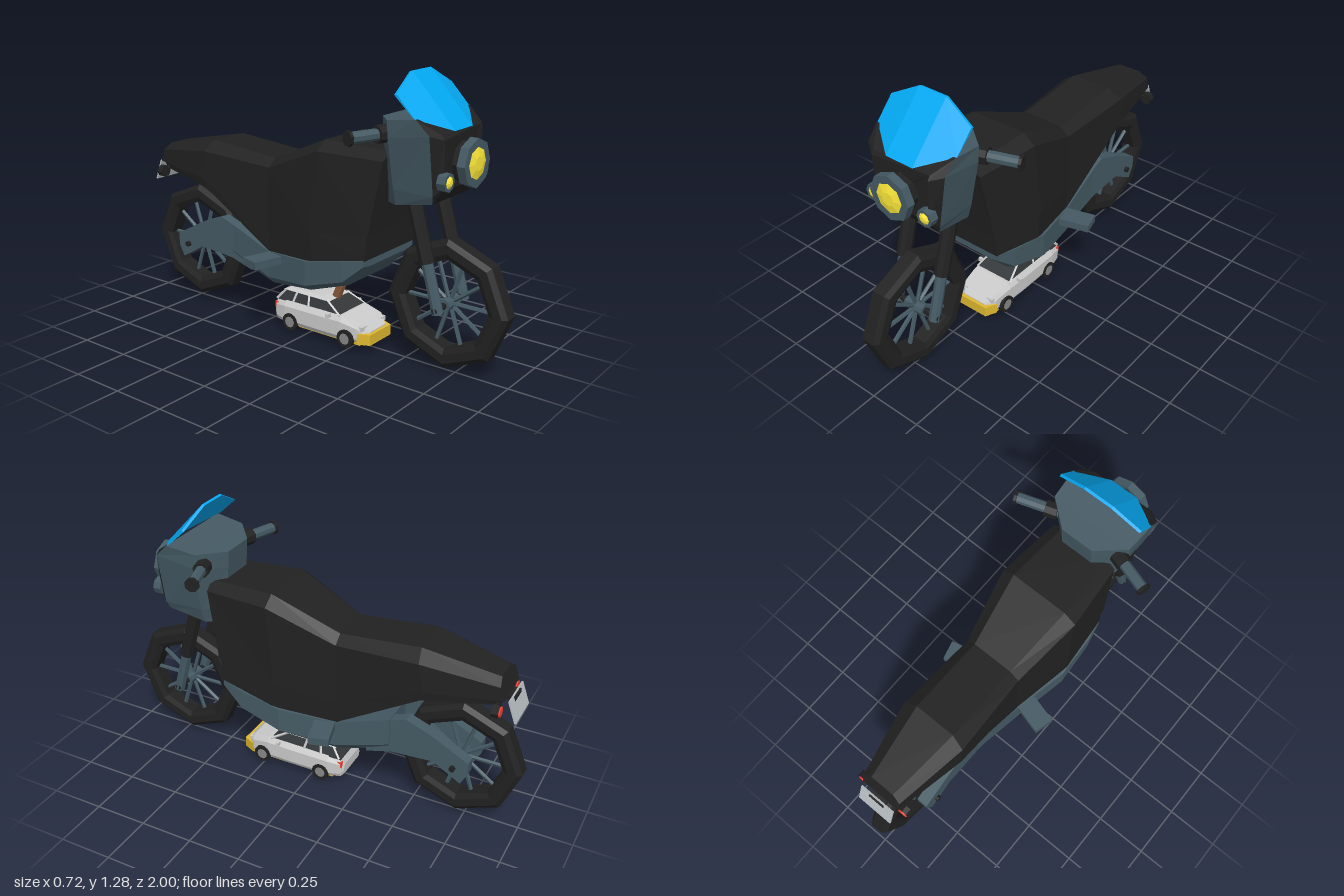
import * as THREE from 'three';

const DARK = 0x212121, SLATE = 0x455a64, BLUE = 0x03a9f4, YELLOW = 0xffeb3b, GREY = 0xcccccc;
const BROWN = 0x8d5a3a, RED = 0xf44336, LIME = 0xdce775, AMBER = 0xe0b830, PLATE = 0xb8bec2;
const V = (x, y, z) => new THREE.Vector3(x, y, z);

function add(parent, name, geo, color, side = THREE.FrontSide) {
  const m = new THREE.Mesh(geo, new THREE.MeshStandardMaterial({ color, flatShading: true, side }));
  m.name = name;
  parent.add(m);
  return m;
}

// Skin over equal-length rings of [x, y, z] with flat end caps, always facing outward
function loft(rings) {
  const n = rings[0].length, last = rings.length - 1, idx = [], p = rings.flat();
  for (let r = 0; r < last; r++)
    for (let i = 0; i < n; i++) {
      const a = r * n + i, b = r * n + (i + 1) % n;
      idx.push(a, b, b + n, a, b + n, a + n);
    }
  for (let i = 1; i < n - 1; i++) {
    idx.push(0, i + 1, i);
    idx.push(last * n, last * n + i, last * n + i + 1);
  }
  let vol = 0;
  for (let i = 0; i < idx.length; i += 3)
    vol += V(...p[idx[i]]).dot(V(...p[idx[i + 1]]).cross(V(...p[idx[i + 2]])));
  if (vol < 0) idx.reverse();
  const g = new THREE.BufferGeometry();
  g.setAttribute('position', new THREE.Float32BufferAttribute(p.flat(), 3));
  g.setIndex(idx);
  const flat = g.toNonIndexed();
  flat.computeVertexNormals();
  return flat;
}

// Mirrors a half ring in x to close it
const ring = (half) => [...half, ...half.slice().reverse().map(([x, y, z]) => [-x, y, z])];

// Straight bar between two points
function bar(a, b, r0, r1 = r0, sides = 8) {
  const d = b.clone().sub(a), g = new THREE.CylinderGeometry(r1, r0, d.length(), sides);
  g.applyQuaternion(new THREE.Quaternion().setFromUnitVectors(V(0, 1, 0), d.clone().normalize()));
  const c = a.clone().add(b).multiplyScalar(0.5);
  return g.translate(c.x, c.y, c.z);
}

function box(w, h, d, x, y, z) {
  return new THREE.BoxGeometry(w, h, d).translate(x, y, z);
}

// Octagonal tyre with hub and spokes
function wheel(parent, name, z) {
  const g = new THREE.Group();
  g.name = name;
  g.position.set(0, 0.307, z);
  const prof = [[0.2, -0.035], [0.225, -0.047], [0.265, -0.047], [0.287, -0.03], [0.287, 0.03],
    [0.265, 0.047], [0.225, 0.047], [0.2, 0.035], [0.2, -0.035]].map(([x, y]) => new THREE.Vector2(x, y));
  add(g, 'tyre', new THREE.LatheGeometry(prof, 8).rotateZ(Math.PI / 2), DARK);
  add(g, 'hub', bar(V(-0.05, 0, 0), V(0.05, 0, 0), 0.028), SLATE);
  add(g, 'axle', bar(V(-0.13, 0, 0), V(0.13, 0, 0), 0.014), DARK);
  for (let i = 0; i < 10; i++) {
    const a = (i + 0.5) * Math.PI / 5;
    add(g, 'spoke', bar(V(0, 0, 0), V(0, Math.cos(a) * 0.2, Math.sin(a) * 0.2), 0.01, 0.01, 5), SLATE);
  }
  parent.add(g);
}

// Octagonal lamp with slate rim and domed lens, facing +z
function lamp(parent, name, x, y, z0, z1, r) {
  add(parent, name + 'Rim', bar(V(x, y, z0), V(x, y, z1), r), SLATE);
  add(parent, name + 'Lens', bar(V(x, y, z1 - 0.002), V(x, y, z1 + 0.008), r * 0.75, r * 0.3), YELLOW);
}

// Small car standing under the motorbike
function car(parent) {
  const g = new THREE.Group();
  g.name = 'car';
  parent.add(g);
  // z, bottom y, top y, half width
  const st = [[0.35, 0.05, 0.095, 0.07], [0.31, 0.04, 0.133, 0.1], [0.22, 0.04, 0.152, 0.112],
    [0.1, 0.04, 0.152, 0.115], [-0.1, 0.04, 0.15, 0.113], [-0.16, 0.045, 0.142, 0.1], [-0.175, 0.06, 0.11, 0.085]];
  add(g, 'carBody', loft(st.map(([z, b, t, w]) => ring([[w * 0.85, t, z], [w, t - 0.025, z], [w, b + 0.02, z], [w * 0.9, b, z]]))), GREY);
  const level = (y, w, f, b) => ring([[w, y, f], [w, y, b]]);
  add(g, 'carWindows', loft([level(0.145, 0.098, 0.22, -0.165), level(0.195, 0.076, 0.125, -0.115)]), 0x333638);
  add(g, 'carRoof', loft([level(0.193, 0.08, 0.135, -0.13), level(0.205, 0.065, 0.09, -0.1)]), GREY);
  add(g, 'carBumper', loft([[0.31, 0.105], [0.365, 0.08]].map(([z, w]) => ring([[w, 0.09, z], [w, 0.04, z]]))), AMBER);
  add(g, 'carUnderside', box(0.19, 0.02, 0.44, 0, 0.043, 0.1), AMBER);
  add(g, 'carFloor', box(0.1, 0.02, 0.42, 0, 0.04, 0.09), GREY);
  for (const s of [1, -1]) {
    for (const [zt, zb] of [[0.125, 0.21], [0.02, 0.03], [-0.05, -0.06], [-0.115, -0.155]])
      add(g, 'carPillar', bar(V(s * 0.098, 0.148, zb), V(s * 0.077, 0.196, zt), 0.006, 0.006, 4), GREY);
    for (const z of [0.25, -0.065]) {
      add(g, 'carTyre', bar(V(s * 0.075, 0.055, z), V(s * 0.118, 0.055, z), 0.042, 0.042, 14), DARK);
      add(g, 'carRim', bar(V(s * 0.11, 0.055, z), V(s * 0.12, 0.055, z), 0.026, 0.026, 10), 0x888888);
    }
    add(g, 'carMirror', box(0.025, 0.018, 0.015, s * 0.117, 0.145, 0.16), GREY);
    add(g, 'carHeadlight', box(0.035, 0.02, 0.03, s * 0.075, 0.11, 0.315), 0xe8e8e8);
    add(g, 'carTailLight', box(0.02, 0.03, 0.02, s * 0.088, 0.115, -0.158), RED);
  }
}

export function createModel() {
  const g = new THREE.Group();
  g.name = 'motorbikeOverCar';
  wheel(g, 'frontWheel', 0.712);
  wheel(g, 'rearWheel', -0.712);

  // Tank and seat: [z, y, half width] at top, shoulder and lower edge
  const seat = [
    [[0.48, 0.945, 0.12], [0.475, 0.91, 0.17], [0.417, 0.583, 0.19]],
    [[0.16, 0.957, 0.14], [0.16, 0.915, 0.2], [0.12, 0.55, 0.21]],
    [[-0.155, 0.823, 0.1], [-0.155, 0.785, 0.145], [-0.165, 0.497, 0.15]],
    [[-0.53, 0.855, 0.1], [-0.545, 0.81, 0.163], [-0.57, 0.68, 0.165]],
    [[-0.87, 0.79, 0.06], [-0.88, 0.76, 0.1], [-0.90, 0.7, 0.1]]];
  const section = (s) => ring(s.map(([z, y, w]) => [w, y, z]));
  add(g, 'tankAndSeat', loft(seat.map(section)), DARK);

  // Dark panel under the seam
  const band = [
    [[0.412, 0.59, 0.183], [0.4, 0.47, 0.19]],
    [[0.12, 0.555, 0.203], [0.14, 0.412, 0.205]],
    [[-0.165, 0.5, 0.143], [-0.155, 0.385, 0.143]],
    [[-0.57, 0.69, 0.145], [-0.555, 0.625, 0.14]],
    [[-0.9, 0.705, 0.085], [-0.88, 0.665, 0.08]]];
  add(g, 'lowerPanel', loft(band.map(section)), DARK);

  // Engine belly: z, top y, bottom y, half width
  const belly = [[0.4, 0.475, 0.44, 0.19], [0.3, 0.455, 0.335, 0.205], [0.1, 0.415, 0.268, 0.21],
    [-0.16, 0.39, 0.23, 0.15], [-0.41, 0.465, 0.295, 0.12]];
  add(g, 'engineBelly', loft(belly.map(([z, t, b, w]) =>
    ring([[w, t, z], [w, b + (t - b) * 0.22, z], [w * 0.78, b, z]]))), SLATE);
  add(g, 'engineCap', new THREE.SphereGeometry(0.075, 8, 4).translate(0, 0.4, -0.2), LIME);

  // Fairing with dark nose
  const rim = [[0.21, 1.11, 0.65], [0.205, 1.05, 0.71], [0.165, 0.8, 0.71], [0.15, 0.765, 0.7]];
  add(g, 'fairing', loft([
    ring([[0.08, 1.08, 0.41], [0.08, 1.0, 0.415], [0.075, 0.79, 0.435], [0.07, 0.715, 0.44]]),
    ring([[0.2, 1.09, 0.51], [0.2, 1.02, 0.515], [0.16, 0.8, 0.52], [0.14, 0.73, 0.52]]),
    ring(rim)]), SLATE);
  add(g, 'nosePanel', loft([ring(rim),
    ring([[0.15, 1.05, 0.735], [0.15, 1.03, 0.747], [0.14, 0.845, 0.747], [0.135, 0.82, 0.735]])]), DARK);

  // Windshield, three folded panes
  const panes = [[-0.21, 1.2, 0.56, 1.11, 0.645], [-0.07, 1.275, 0.54, 1.055, 0.745],
    [0.07, 1.275, 0.54, 1.055, 0.745], [0.21, 1.2, 0.56, 1.11, 0.645]];
  add(g, 'windshield', loft(panes.map(([x, t, zt, b, zb]) =>
    [[x, t, zt], [x, b, zb], [x, b + 0.008, zb - 0.012], [x, t - 0.004, zt - 0.012]])), BLUE, THREE.DoubleSide);

  lamp(g, 'headlight', 0, 0.922, 0.775, 0.812, 0.103);
  add(g, 'headlightMount', bar(V(0, 0.922, 0.73), V(0, 0.922, 0.78), 0.085), DARK);

  // Swingarm outline in (-z, y)
  const arm = new THREE.Shape([[0.3, 0.42], [0.485, 0.487], [0.61, 0.44], [0.78, 0.35], [0.78, 0.29],
    [0.75, 0.235], [0.62, 0.31], [0.42, 0.295], [0.3, 0.26]].map(([x, y]) => new THREE.Vector2(x, y)));
  for (const s of [1, -1]) {
    lamp(g, 'foglight', s * 0.138, 0.863, 0.73, 0.768, 0.04);
    // Forks
    const top = V(s * 0.107, 0.8, 0.575), mid = V(s * 0.107, 0.5, 0.66);
    add(g, 'forkUpper', bar(mid, top, 0.033), DARK);
    add(g, 'forkLower', bar(V(s * 0.107, 0.29, 0.718), mid, 0.025), SLATE);
    // Handlebars
    const a = V(s * 0.14, 1.03, 0.495), b = V(s * 0.345, 1.03, 0.428);
    const at = (t) => a.clone().lerp(b, t);
    add(g, 'handlebar', bar(a, b, 0.025), SLATE);
    add(g, 'gripCollar', bar(at(0.1), at(0.36), 0.038), DARK);
    add(g, 'gripEnd', bar(at(0.97), at(1.03), 0.033), DARK);
    // Foot pegs
    const peg = add(g, 'footPeg', new THREE.BoxGeometry(0.17, 0.036, 0.095), SLATE);
    peg.position.set(s * 0.215, 0.373, -0.127);
    peg.rotation.y = s * 0.26;
    const plate = new THREE.ExtrudeGeometry(arm, { depth: 0.055, bevelEnabled: false }).rotateY(Math.PI / 2);
    add(g, 'swingarm', plate.translate(s * 0.0875 - 0.0275, 0, 0), SLATE);
    // Tail indicators
    add(g, 'indicatorArm', bar(V(s * 0.06, 0.675, -0.865), V(s * 0.12, 0.66, -0.875), 0.012), DARK);
    add(g, 'indicator', bar(V(s * 0.112, 0.655, -0.86), V(s * 0.112, 0.655, -0.89), 0.03), DARK);
    add(g, 'indicatorLens', bar(V(s * 0.112, 0.655, -0.888), V(s * 0.112, 0.655, -0.896), 0.024), RED);
  }
  const licence = add(g, 'rearPlate', new THREE.BoxGeometry(0.18, 0.105, 0.008), PLATE);
  licence.position.set(0, 0.648, -0.935);
  licence.rotation.x = 0.35;
  add(g, 'plateBracket', box(0.08, 0.02, 0.06, 0, 0.685, -0.9), DARK);

  // Wooden stand through the car
  add(g, 'standTrunk', bar(V(0, 0, 0.09), V(0, 0.15, 0.08), 0.037), BROWN);
  add(g, 'standBranchFront', bar(V(0, 0.12, 0.09), V(0, 0.32, 0.175), 0.022), BROWN);
  add(g, 'standBranchRear', bar(V(0, 0.12, 0.06), V(0, 0.29, -0.1), 0.022), BROWN);
  car(g);
  return g;
}
